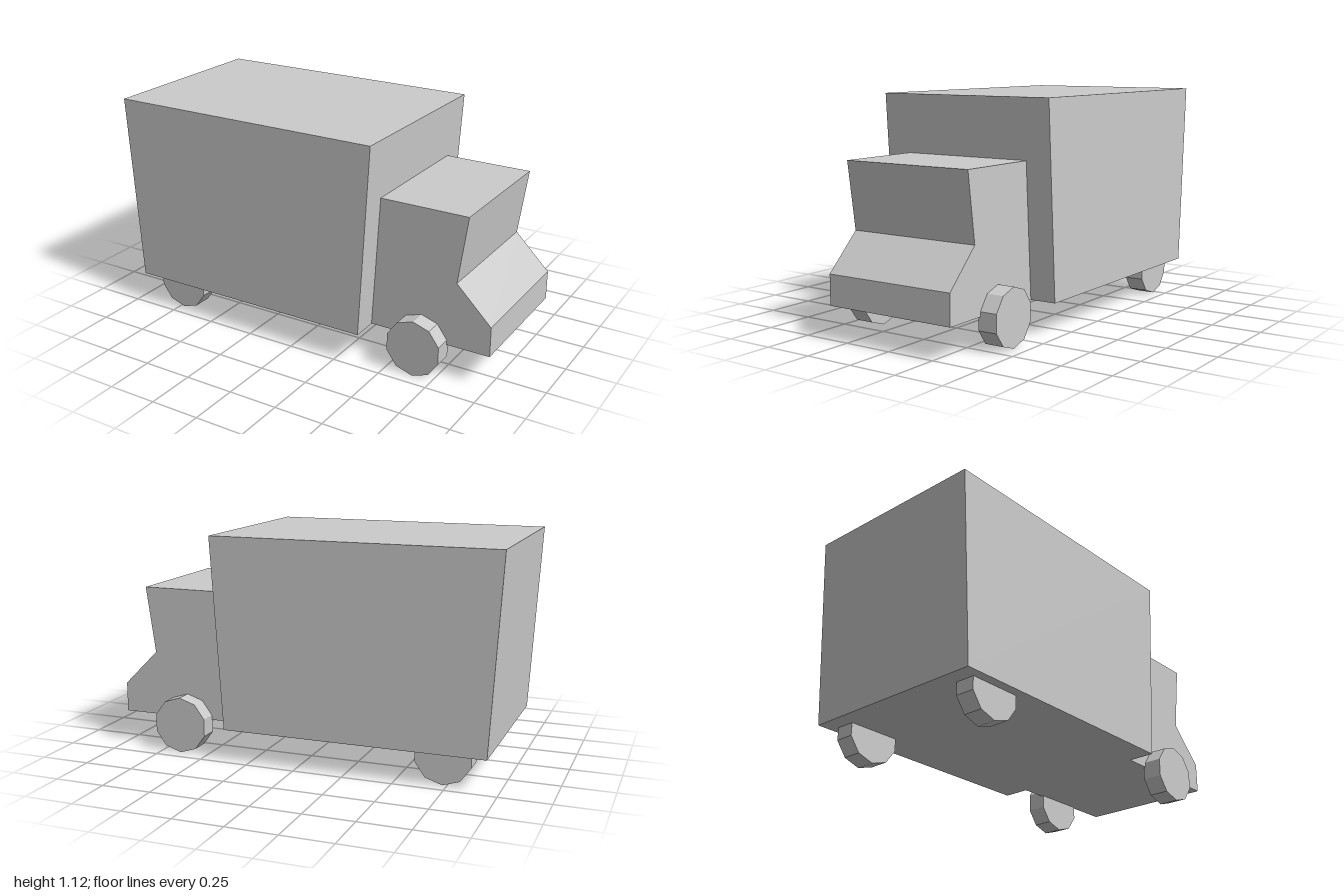
import * as THREE from 'three';

const material = new THREE.MeshStandardMaterial({ color: 0xcccccc, flatShading: true });

// Side profile (x, y) extruded evenly about z = 0
function profileBody(name, points, width) {
  const shape = new THREE.Shape(points.map(([x, y]) => new THREE.Vector2(x, y)));
  const geometry = new THREE.ExtrudeGeometry(shape, { depth: width, bevelEnabled: false });
  geometry.translate(0, 0, -width / 2);
  const mesh = new THREE.Mesh(geometry, material);
  mesh.name = name;
  return mesh;
}

export function createModel() {
  const truck = new THREE.Group();
  truck.name = 'boxTruck';

  // Cargo box, wider at the roof than at the floor
  truck.add(profileBody('cargoBox', [
    [-0.945, 0.162], [0.375, 0.162], [0.435, 1.122], [-1, 1.122],
  ], 0.967));

  // Cab with raked windshield and sloping hood
  truck.add(profileBody('cab', [
    [0.375, 0.163], [1, 0.163], [1, 0.313], [0.82, 0.492], [0.867, 0.828], [0.4166, 0.828],
  ], 0.698));

  // Ten-sided wheels
  const wheelGeometry = new THREE.CylinderGeometry(0.143, 0.143, 0.098, 10);
  wheelGeometry.rotateX(Math.PI / 2);
  for (const [axle, x] of [['front', 0.645], ['rear', -0.728]]) {
    for (const [side, z] of [['Near', 0.387], ['Far', -0.387]]) {
      const wheel = new THREE.Mesh(wheelGeometry, material);
      wheel.name = `${axle}Wheel${side}`;
      wheel.position.set(x, 0.143, z);
      truck.add(wheel);
    }
  }
  return truck;
}
